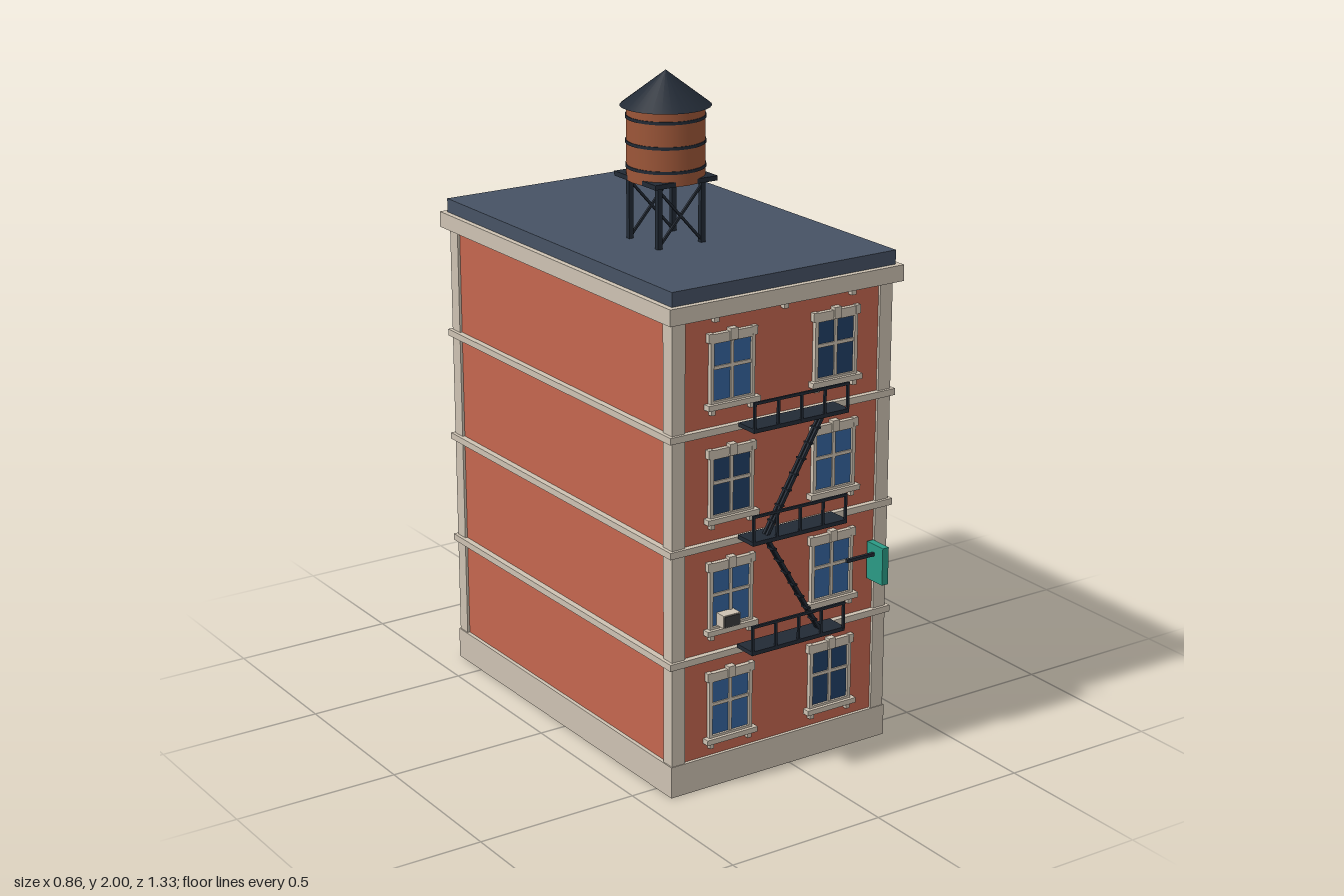
import * as THREE from 'three';

const mat = (name, color) => Object.assign(new THREE.MeshStandardMaterial({ color }), { name });
const M = {
  brick: mat('brick red', 0xc4664f),
  stone: mat('stone beige', 0xcdc2b2),
  slate: mat('roof slate', 0x465264),
  iron: mat('dark iron', 0x222a35),
  glass: mat('lit glass', 0x35659f),
  darkGlass: mat('dark glass', 0x213f66),
  teal: mat('teal', 0x2a9a85),
  white: mat('awning cream', 0xe8e2d6),
  wood: mat('tank wood', 0x9c5638),
  vent: mat('vent grey', 0x3a3a3c),
};

// Box centred at x, y, z
function box(parent, name, material, w, h, d, x, y, z) {
  const m = new THREE.Mesh(new THREE.BoxGeometry(w, h, d), material);
  m.name = name;
  m.position.set(x, y, z);
  parent.add(m);
  return m;
}

// Square bar between two points
function bar(parent, name, material, a, b, t) {
  const A = new THREE.Vector3(...a), B = new THREE.Vector3(...b);
  const dir = B.clone().sub(A);
  const m = box(parent, name, material, t, dir.length(), t, 0, 0, 0);
  m.position.copy(A).add(B).multiplyScalar(0.5);
  m.quaternion.setFromUnitVectors(new THREE.Vector3(0, 1, 0), dir.normalize());
  return m;
}

function group(parent, name, x = 0, y = 0, z = 0) {
  const g = new THREE.Group();
  g.name = name;
  g.position.set(x, y, z);
  parent.add(g);
  return g;
}

const HX = 0.37, HZ = 0.595;           // half size of the brick walls
const ROWS = [1.252, 0.916, 0.58, 0.244]; // window centres, top floor first

// Window: glass, frame, glazing bars, lintel with keystone, sill on brackets
function sashWindow(face, x, y, dark) {
  const g = group(face, 'window', x, y, 0);
  box(g, 'glass', dark ? M.darkGlass : M.glass, 0.14, 0.18, 0.006, 0, 0, 0.003);
  for (const s of [-1, 1]) {
    box(g, 'frameSide', M.stone, 0.011, 0.186, 0.014, s * 0.069, 0, 0.006);
    box(g, 'frameRail', M.stone, 0.14, 0.01, 0.014, 0, s * 0.088, 0.006);
    box(g, 'sillBracket', M.stone, 0.014, 0.018, 0.014, s * 0.066, -0.114, 0.007);
    box(g, 'lintelEnd', M.stone, 0.016, 0.026, 0.016, s * 0.074, 0.1, 0.007);
  }
  box(g, 'mullion', M.stone, 0.01, 0.18, 0.01, 0, 0, 0.005);
  box(g, 'transom', M.stone, 0.14, 0.01, 0.01, 0, 0.012, 0.005);
  box(g, 'lintel', M.stone, 0.16, 0.02, 0.014, 0, 0.101, 0.007);
  box(g, 'keystone', M.stone, 0.024, 0.034, 0.02, 0, 0.103, 0.009);
  box(g, 'sill', M.stone, 0.175, 0.016, 0.024, 0, -0.098, 0.011);
}

function airConditioner(face, x, y) {
  const g = group(face, 'airConditioner', x, y, 0);
  box(g, 'casing', M.stone, 0.058, 0.038, 0.04, 0, 0, 0.021);
  box(g, 'grille', M.vent, 0.052, 0.032, 0.003, 0, 0, 0.042);
}

// Striped awning sloping away from the wall, with a hanging valance
function awning(face, x, y) {
  const g = group(face, 'awning', x, y, 0);
  for (let i = 0; i < 4; i++) {
    const m = i % 2 ? M.white : M.teal, sx = (i - 1.5) * 0.0375;
    box(g, 'stripe', m, 0.0375, 0.006, 0.078, sx, -0.07, 0.049).rotation.x = 0.55;
    box(g, 'valance', m, 0.0375, 0.014, 0.005, sx, -0.094, 0.08);
  }
}

// Three landings with railings, joined by two flights of stairs
function fireEscape(face) {
  const g = group(face, 'fireEscape');
  const levels = [1.09, 0.757, 0.425], out = 0.092;
  for (const y of levels) {
    box(g, 'landing', M.iron, 0.328, 0.012, 0.074, 0, y, 0.058);
    box(g, 'handrail', M.iron, 0.328, 0.008, 0.007, 0, y + 0.08, out);
    for (let i = 0; i < 5; i++)
      box(g, 'railPost', M.iron, 0.007, 0.08, 0.007, (i - 2) * 0.08, y + 0.04, out);
  }
  for (let f = 0; f < 2; f++) {
    const x0 = f ? -0.098 : 0.098, x1 = -x0, y0 = levels[f], y1 = levels[f + 1];
    for (const z of [0.053, 0.067])
      bar(g, 'stairStringer', M.iron, [x0, y0, z], [x1, y1, z], 0.009);
    for (let i = 1; i < 8; i++)
      box(g, 'tread', M.iron, 0.014, 0.005, 0.03,
        x0 + (x1 - x0) * i / 8, y0 + (y1 - y0) * i / 8, 0.06);
  }
}

// One windowed wall; local z = 0 is the brick surface
function wall(building, name, angle, depth, columns, darkMap, dentils) {
  const pivot = group(building, name);
  pivot.rotation.y = angle;
  const face = group(pivot, name + 'Details', 0, 0, depth);
  ROWS.forEach((y, r) => columns.forEach((x, c) => sashWindow(face, x, y, darkMap[r][c] === 'd')));
  for (const x of dentils) box(face, 'corniceBracket', M.stone, 0.016, 0.018, 0.016, x, 1.406, 0.008);
  return face;
}

function waterTower(root) {
  const g = group(root, 'waterTower', -0.132, 0, 0.127);
  const L = 0.074;
  for (const z of [-L, L]) {
    for (const x of [-L, L]) box(g, 'towerLeg', M.iron, 0.015, 0.195, 0.015, x, 1.597, z);
    for (const s of [-1, 1])
      bar(g, 'crossBrace', M.iron, [-s * L, 1.51, z], [s * L, 1.675, z], 0.007);
  }
  box(g, 'towerPlatform', M.iron, 0.212, 0.014, 0.212, 0, 1.694, 0);
  const round = (name, m, geo, y) => {
    const mesh = new THREE.Mesh(geo, m);
    mesh.name = name;
    mesh.position.y = y;
    g.add(mesh);
  };
  round('tank', M.wood, new THREE.CylinderGeometry(0.113, 0.113, 0.22, 28), 1.798);
  for (const y of [1.728, 1.798, 1.87])
    round('tankHoop', M.iron, new THREE.CylinderGeometry(0.1155, 0.1155, 0.009, 28), y);
  round('tankRoof', M.iron, new THREE.ConeGeometry(0.131, 0.1, 28), 1.95);
}

export function createModel() {
  const root = new THREE.Group();
  root.name = 'apartmentBlock';
  const b = group(root, 'building', -0.035, 0, -0.028);

  // Main masses
  box(b, 'brickWalls', M.brick, HX * 2, 1.38, HZ * 2, 0, 0.74, 0);
  box(b, 'plinth', M.stone, 0.764, 0.096, 1.21, 0, 0.048, 0);
  for (const y of [0.408, 0.745, 1.082]) box(b, 'beltCourse', M.stone, 0.778, 0.02, 1.224, 0, y, 0);
  box(b, 'cornice', M.stone, 0.798, 0.048, 1.253, 0, 1.439, 0);
  box(b, 'roof', M.slate, 0.764, 0.042, 1.218, 0, 1.484, 0);
  for (const x of [-1, 1]) for (const z of [-1, 1])
    box(b, 'cornerPilaster', M.stone, 0.044, 1.33, 0.044, x * (HX - 0.014), 0.755, z * (HZ - 0.014));

  // Windowed walls; the fourth side is blank
  const two = [-0.178, 0.178], four = [-0.402, -0.134, 0.134, 0.402];
  const front = wall(b, 'frontWall', 0, HZ, two, ['.d', 'd.', '..', '.d'], [-0.235, 0, 0.235]);
  const side = wall(b, 'sideWall', Math.PI / 2, HX, four, ['d...', 'd..d', '....', 'd.d.'],
    [-0.5, -0.25, 0, 0.25, 0.5]);
  const back = wall(b, 'backWall', Math.PI, HZ, two, ['d.', '..', '.d', '..'], [-0.235, 0, 0.235]);

  // Air conditioners on the sills
  const ac = (face, x, row, dx = -0.018) => airConditioner(face, x + dx, ROWS[row] - 0.063);
  ac(front, two[0], 2);
  four.forEach((x) => ac(side, x, 1));
  ac(side, four[3], 0);
  ac(side, four[0], 3);
  ac(back, two[0], 0, 0.02);

  four.forEach((x) => awning(side, x, ROWS[2]));
  fireEscape(front);
  fireEscape(side);

  // Hanging sign board on an iron bracket
  const sign = group(front, 'hangingSign', 0.318, 0, 0);
  box(sign, 'signBoard', M.teal, 0.022, 0.115, 0.074, 0, 0.578, 0.045);
  box(sign, 'signBracket', M.iron, 0.105, 0.01, 0.01, -0.058, 0.606, 0.04);

  waterTower(root);
  return root;
}
